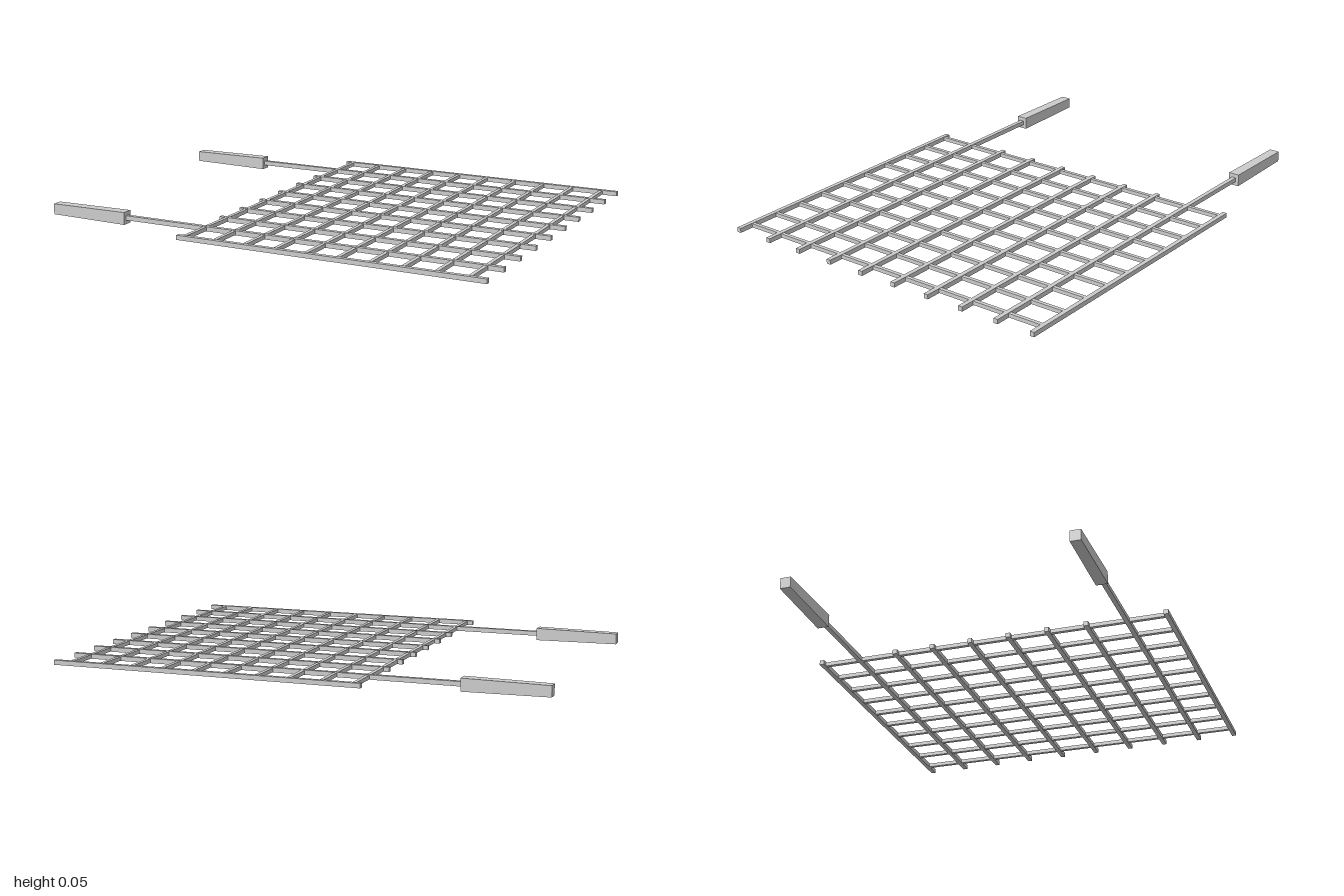
import * as THREE from 'three';

const Y = 0.026; // shared centre height of every bar
const BAR = 0.019;
const CROSS = 0.016;

export function createModel() {
  const group = new THREE.Group();
  group.name = 'grillGrate';
  const material = new THREE.MeshStandardMaterial({ color: 0xcccccc, flatShading: true });

  function add(name, geometry, x, z) {
    const mesh = new THREE.Mesh(geometry, material);
    mesh.name = name;
    mesh.position.set(x, Y, z);
    group.add(mesh);
  }

  // Square bar running along x
  function longBar(name, x0, x1, z) {
    add(name, new THREE.BoxGeometry(x1 - x0, BAR, BAR), (x0 + x1) / 2, z);
  }

  // Long bars; the second from each edge reaches out to a handle
  for (let i = 0; i < 10; i++) {
    const z = -0.737 + (i * 1.474) / 9;
    const isRod = i === 1 || i === 8;
    longBar(isRod ? 'handleRod' : 'longBar', isRod ? -0.66 : -0.305, 1, z);
    if (isRod) add('handle', handleGeometry(), -0.825, z);
  }

  // Thinner cross bars running along z
  for (let i = 0; i < 10; i++) {
    add('crossBar', new THREE.BoxGeometry(CROSS, CROSS, 1.474), -0.275 + i * 0.1337, 0);
  }
  return group;
}

// Box grip that narrows slightly toward its outer end
function handleGeometry() {
  const geometry = new THREE.BoxGeometry(0.35, 0.052, 0.047);
  const p = geometry.attributes.position;
  for (let i = 0; i < p.count; i++) {
    if (p.getX(i) < 0) {
      p.setY(i, p.getY(i) * 0.86);
      p.setZ(i, p.getZ(i) * 0.92);
    }
  }
  geometry.computeVertexNormals();
  return geometry;
}
